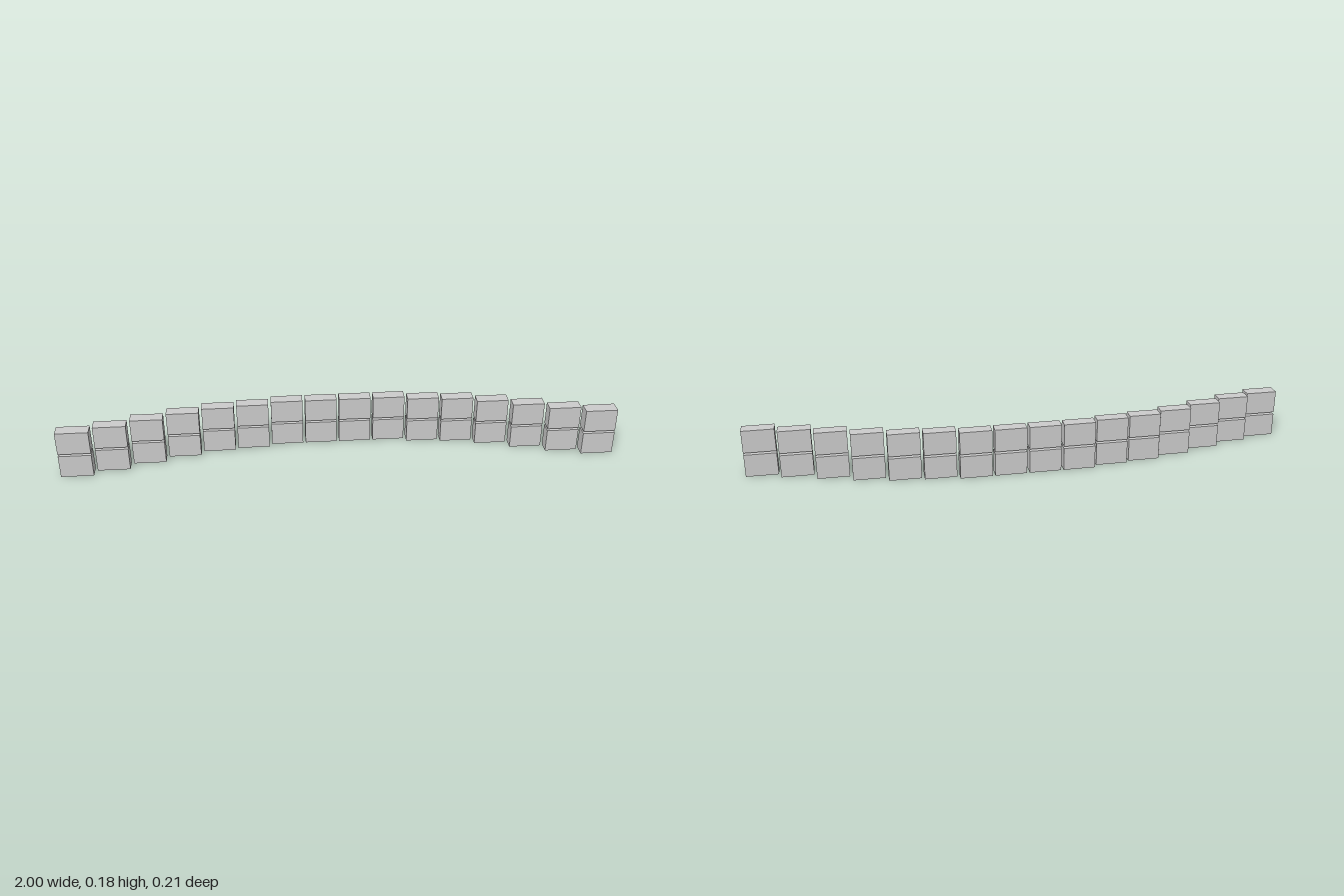
import * as THREE from 'three';

export function createModel() {
  const model = new THREE.Group();
  model.name = 'curvedBlockWall';
  const material = new THREE.MeshStandardMaterial({ color: 0xcccccc, flatShading: true });

  const columns = 16;
  const width = 0.116;
  const height = 0.085;
  const pitch = (2 - width) / (columns - 1);
  const rowBottoms = [0, 0.093];
  // Back face of each column, from either end to the middle
  const backs = [0.055, 0.027, -0.01, -0.046, -0.073, -0.085, -0.103, -0.103];

  // Two rows of blocks, stepped back towards the middle
  rowBottoms.forEach((bottom, r) => {
    const row = new THREE.Group();
    row.name = r === 0 ? 'lowerRow' : 'upperRow';
    for (let i = 0; i < columns; i++) {
      const step = Math.min(i, columns - 1 - i);
      const depth = step === 0 ? 0.048 : 0.045;
      const block = new THREE.Mesh(new THREE.BoxGeometry(width, height, depth), material);
      block.name = 'block';
      block.position.set(-1 + width / 2 + i * pitch, bottom + height / 2, backs[step] + depth / 2);
      row.add(block);
    }
    model.add(row);
  });
  return model;
}
